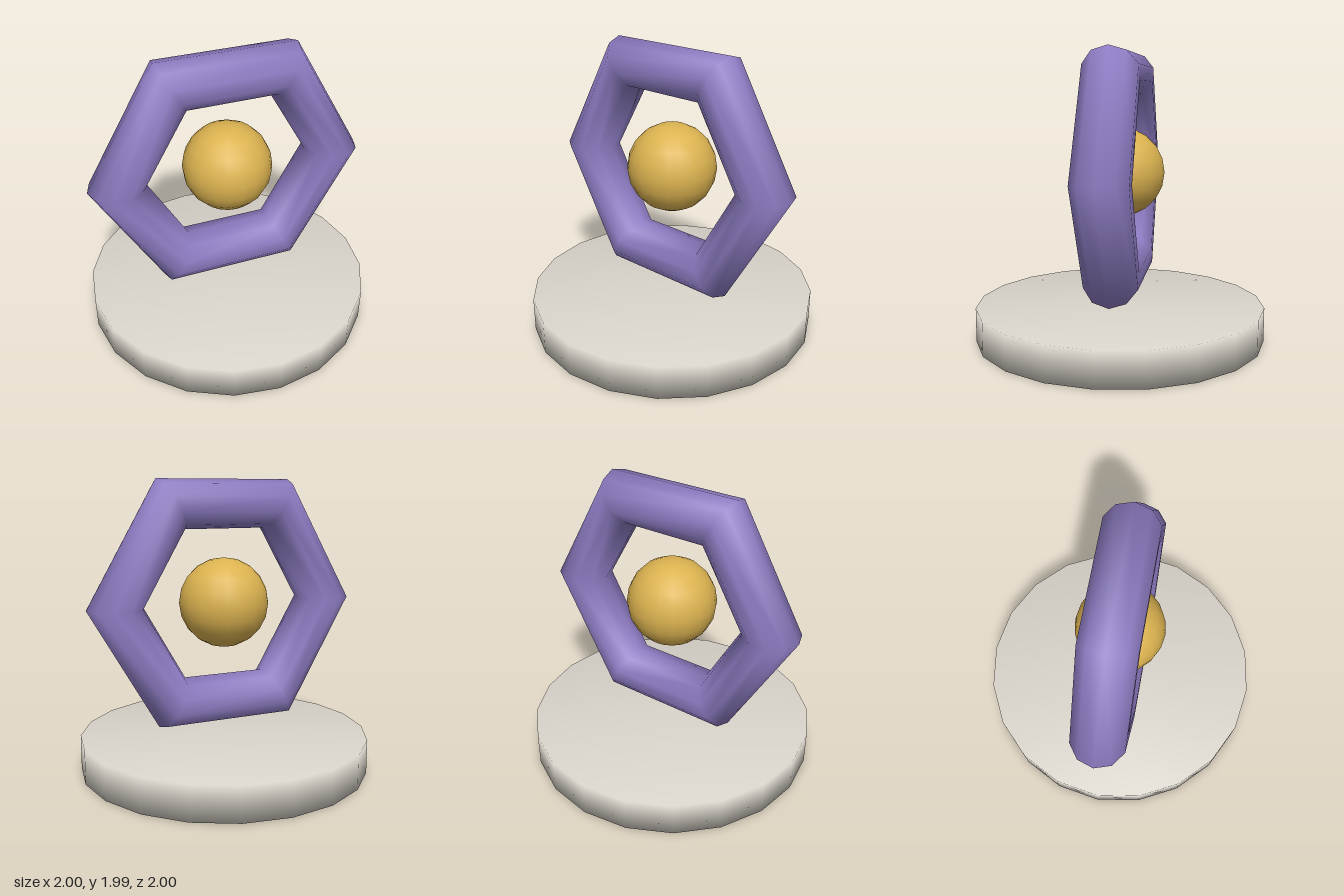
import * as THREE from 'three';

const CENTRE_Y = 1.157;
const BASE_HEIGHT = 0.235;

function material(name, color) {
  const m = new THREE.MeshStandardMaterial({ color });
  m.name = name;
  return m;
}

export function createModel() {
  const model = new THREE.Group();
  model.name = 'ringTrophy';

  const add = (name, geometry, mat, y) => {
    const mesh = new THREE.Mesh(geometry, mat);
    mesh.name = name;
    mesh.position.y = y;
    model.add(mesh);
  };

  // Twenty-sided disc with softly shaded rim
  const profile = [[0, 0], [1, 0], [1, BASE_HEIGHT], [0, BASE_HEIGHT]]
    .map(([x, y]) => new THREE.Vector2(x, y));
  add('base', new THREE.LatheGeometry(profile, 20), material('stone', 0xdad5cb), 0);

  // Upright six-sided ring floating above the base
  add('hexagonRing', new THREE.TorusGeometry(0.77, 0.19, 10, 6), material('purple', 0x8e7cc3), CENTRE_Y);

  // Ball floating in the middle of the ring
  add('ball', new THREE.SphereGeometry(0.307, 20, 10), material('gold', 0xdcb350), CENTRE_Y);

  return model;
}
